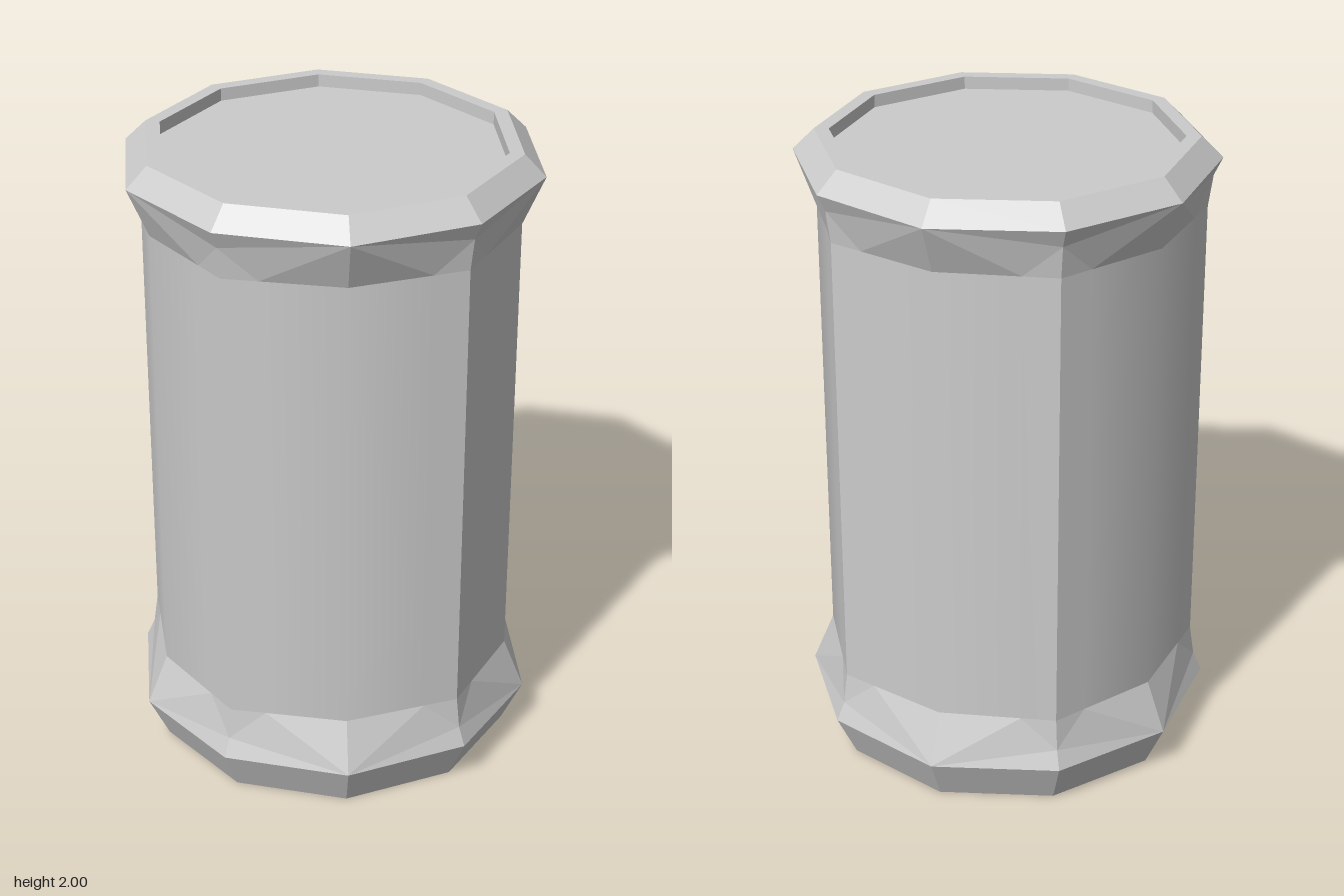
import * as THREE from 'three';
import { toCreasedNormals } from 'three/addons/utils/BufferGeometryUtils.js';

const SIDES = 10;
const STEP = (Math.PI * 2) / SIDES;
const RIM = 0.643;      // widest radius of both collars
const WAIST = 0.577;    // shaft radius in the middle of each face pair
const RIDGE = 0.603;    // shaft radius at the five sharp ridges
const SHOULDER = 0.571; // shaft radius where the ridge blends into the collar
const SHOULDER_ANGLE = 0.18;

const flat = () => new THREE.MeshStandardMaterial({ color: 0xcccccc, flatShading: true });
const smooth = () => new THREE.MeshStandardMaterial({ color: 0xcccccc });

const polar = (r, angle, y) => new THREE.Vector3(r * Math.cos(angle), y, r * Math.sin(angle));

// Fans out a convex polygon into triangles that face away from the y axis
function addPolygon(positions, points) {
  for (let i = 1; i < points.length - 1; i++) {
    let [a, b, c] = [points[0], points[i], points[i + 1]];
    const normal = b.clone().sub(a).cross(c.clone().sub(a));
    const centre = a.clone().add(b).add(c).setY(0);
    if (normal.dot(centre) < 0) [b, c] = [c, b];
    for (const p of [a, b, c]) positions.push(p.x, p.y, p.z);
  }
}

function toGeometry(positions) {
  const geometry = new THREE.BufferGeometry();
  geometry.setAttribute('position', new THREE.Float32BufferAttribute(positions, 3));
  geometry.computeVertexNormals();
  return geometry;
}

// Calls build(at) for the two mirrored halves of each of the five ridges
function forEachHalfFace(build) {
  for (let i = 0; i < SIDES / 2; i++) {
    for (const side of [1, -1]) {
      build((r, angle, y) => polar(r, i * 2 * STEP + side * angle, y));
    }
  }
}

// Ten-sided cap turned from a profile, with a corner on the x axis
function makeCap(name, profile) {
  const points = profile.map(([r, y]) => new THREE.Vector2(r, y));
  const mesh = new THREE.Mesh(new THREE.LatheGeometry(points, SIDES, Math.PI / 2), flat());
  mesh.name = name;
  return mesh;
}

// Sloping collar that runs from the rim into the shaft, notched by the ridges
function makeFlare(name, rimY, apexY, shaftY) {
  const positions = [];
  forEachHalfFace((at) => {
    const rim0 = at(RIM, 0, rimY);
    const rim1 = at(RIM, STEP, rimY);
    const waist = at(WAIST, STEP, shaftY);
    const shoulder = at(SHOULDER, SHOULDER_ANGLE, shaftY);
    const apex = at(0.617, 0, apexY);
    addPolygon(positions, [rim1, waist, shoulder, apex, rim0]);
    addPolygon(positions, [apex, at(RIDGE, 0, shaftY), shoulder]);
  });
  const mesh = new THREE.Mesh(toGeometry(positions), flat());
  mesh.name = name;
  return mesh;
}

// Shaft with five sharp ridges and softly rounded faces between them
function makeShaft(y0, y1) {
  const positions = [];
  const outline = [[RIDGE, 0], [SHOULDER, SHOULDER_ANGLE], [WAIST, STEP]];
  forEachHalfFace((at) => {
    for (let k = 0; k < outline.length - 1; k++) {
      const [p, q] = [outline[k], outline[k + 1]];
      addPolygon(positions, [at(...p, y0), at(...q, y0), at(...q, y1), at(...p, y1)]);
    }
  });
  const mesh = new THREE.Mesh(toCreasedNormals(toGeometry(positions), 0.6), smooth());
  mesh.name = 'shaft';
  return mesh;
}

export function createModel() {
  const group = new THREE.Group();
  group.name = 'ridgedBarrel';
  group.add(
    // Chamfered ends with a shallow recess
    makeCap('baseCap', [[0, 0.03], [0.532, 0.03], [0.532, 0], [WAIST, 0], [RIM, 0.14]]),
    makeCap('topCap', [[RIM, 1.935], [WAIST, 2], [0.532, 2], [0.532, 1.96], [0, 1.96]]),
    // Collars and shaft
    makeFlare('baseCollar', 0.14, 0.2, 0.3),
    makeFlare('topCollar', 1.935, 1.88, 1.78),
    makeShaft(0.3, 1.78),
  );
  return group;
}
